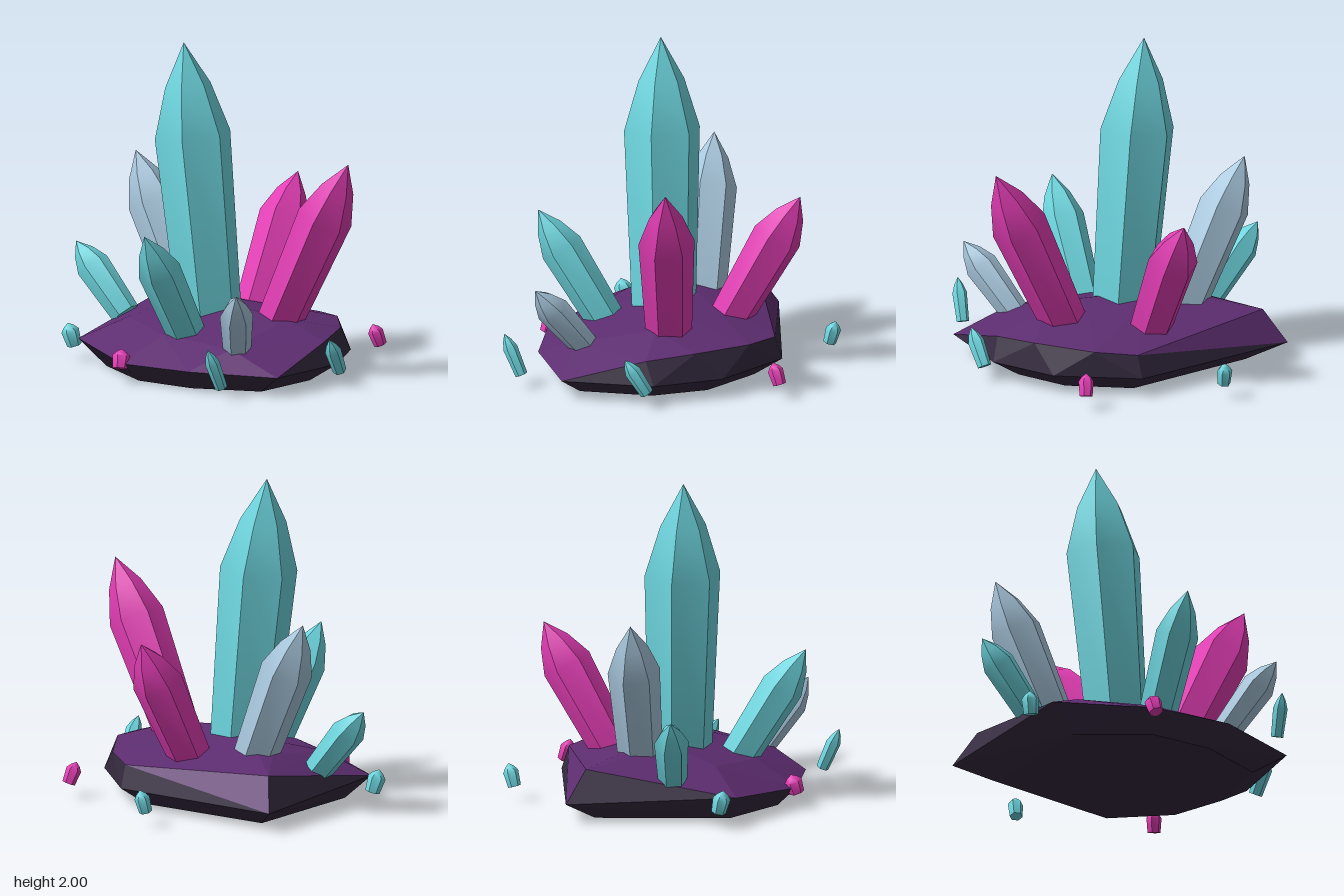
import * as THREE from 'three';
import { toCreasedNormals } from 'three/addons/utils/BufferGeometryUtils.js';
import { ConvexGeometry } from 'three/addons/geometries/ConvexGeometry.js';

const paint = (name, color) => {
  const m = new THREE.MeshStandardMaterial({ color });
  m.name = name;
  return m;
};

// Six-sided crystal from base to tip: tapered shaft, two-step rounded point
function crystal(name, material, base, tip, rBase, rShoulder, { sink = 0, shaft = 0.645, turn = 30 } = {}) {
  const b = new THREE.Vector3(...base);
  const axis = new THREE.Vector3(...tip).sub(b);
  const h = axis.length();
  axis.normalize();
  const mid = shaft + (1 - shaft) * 0.54;
  const profile = [
    [0, -sink], [rBase, -sink], [rShoulder, h * shaft], [rShoulder * 0.6, h * mid], [0, h],
  ].map(([r, y]) => new THREE.Vector2(r, y));
  const lathe = new THREE.LatheGeometry(profile, 6, THREE.MathUtils.degToRad(turn));
  const mesh = new THREE.Mesh(toCreasedNormals(lathe, 0.85), material);
  mesh.position.copy(b);
  mesh.quaternion.setFromUnitVectors(new THREE.Vector3(0, 1, 0), axis);
  mesh.name = name;
  return mesh;
}

// Faceted rock: convex hull, gentle upper facets purple and steep or lower ones dark
function rock(topMaterial, sideMaterial) {
  const rim = [
    [-0.99, 0.12, -0.21], [-0.55, 0.16, 0.73], [0.07, 0.12, 0.85], [0.55, 0.13, 0.69],
    [0.98, 0.12, 0.33], [0.84, 0.12, -0.22], [0.53, 0.12, -0.54], [0.01, 0.12, -0.70],
    [-0.67, 0.14, -0.35],
  ];
  const crown = [
    [-0.85, 0.32, -0.14], [-0.55, 0.36, 0.05], [-0.24, 0.42, 0.05], [0.22, 0.40, 0.05],
    [0.5, 0.36, -0.08], [0.03, 0.26, -0.66], [0.29, 0.28, -0.61], [0.62, 0.29, -0.40],
    [0.8, 0.26, -0.15], [0.62, 0.25, 0.42], [0.1, 0.27, 0.56], [-0.35, 0.3, 0.5],
  ];
  const foot = rim.map(([x, , z]) => [x * 0.77 + 0.02, 0, z * 0.8 + 0.04]);
  const hull = new ConvexGeometry([...rim, ...crown, ...foot].map((p) => new THREE.Vector3(...p)));
  const pos = hull.getAttribute('position');
  const normal = hull.getAttribute('normal');
  const parts = { top: [], side: [] };
  for (let i = 0; i < pos.count; i += 3) {
    const list = normal.getY(i) > 0.47 ? parts.top : parts.side;
    for (let k = i; k < i + 3; k++) list.push(pos.getX(k), pos.getY(k), pos.getZ(k));
  }
  const group = new THREE.Group();
  group.name = 'rock';
  for (const [key, material] of [['top', topMaterial], ['side', sideMaterial]]) {
    const g = new THREE.BufferGeometry();
    g.setAttribute('position', new THREE.Float32BufferAttribute(parts[key], 3));
    g.computeVertexNormals();
    const mesh = new THREE.Mesh(g, material);
    mesh.name = key === 'top' ? 'rockTop' : 'rockUnderside';
    group.add(mesh);
  }
  return group;
}

export function createModel() {
  const cyan = paint('cyan crystal', 0x6dd5de);
  const pink = paint('pink crystal', 0xe23db4);
  const pale = paint('pale blue crystal', 0xa9c8de);
  const purple = paint('purple rock', 0x5d2d70);
  const dark = paint('dark rock', 0x352a40);

  const model = new THREE.Group();
  model.name = 'crystalCluster';
  model.add(rock(purple, dark));

  // Large crystals rooted in the rock
  const sink = 0.1;
  model.add(
    crystal('mainCrystal', cyan, [-0.04, 0.4, 0.12], [-0.18, 2, 0.205], 0.2, 0.238, { sink, turn: 39 }),
    crystal('rightPaleCrystal', pale, [-0.41, 0.37, 0.02], [-0.79, 1.22, 0.13], 0.135, 0.16, { sink }),
    crystal('leftPinkCrystal', pink, [0.405, 0.37, -0.12], [0.84, 1.35, -0.3], 0.14, 0.172, { sink }),
    crystal('backPinkCrystal', pink, [-0.13, 0.35, -0.32], [-0.25, 1.08, -0.7], 0.13, 0.155, { sink }),
    crystal('frontCyanCrystal', cyan, [0.16, 0.28, 0.43], [0.27, 0.94, 0.82], 0.115, 0.132, { sink }),
    crystal('rightCyanCrystal', cyan, [-0.63, 0.28, 0.34], [-0.94, 0.67, 0.47], 0.09, 0.105, { sink: 0.03 }),
    crystal('leftPaleCrystal', pale, [0.6, 0.24, 0.36], [0.87, 0.635, 0.56], 0.085, 0.102, { sink: 0.03 }),
  );

  // Loose shards around the rock
  const shards = [
    [cyan, [-0.675, 0.09, 0.67], [-0.69, 0.23, 0.71], 0.045, 0.055],
    [cyan, [0.855, 0.08, 0.66], [0.865, 0.33, 0.77], 0.038, 0.045],
    [cyan, [0.89, 0.09, -0.2], [0.95, 0.305, -0.08], 0.042, 0.05],
    [cyan, [-0.48, 0.09, -0.79], [-0.48, 0.23, -0.83], 0.04, 0.047],
    [pink, [0.39, 0.09, -0.86], [0.38, 0.22, -0.81], 0.04, 0.047],
    [pink, [0.065, 0.09, 0.855], [0.04, 0.205, 0.825], 0.045, 0.054],
  ];
  shards.forEach(([material, base, tip, r0, r1], i) => {
    model.add(crystal(`shard${i + 1}`, material, base, tip, r0, r1));
  });
  return model;
}
